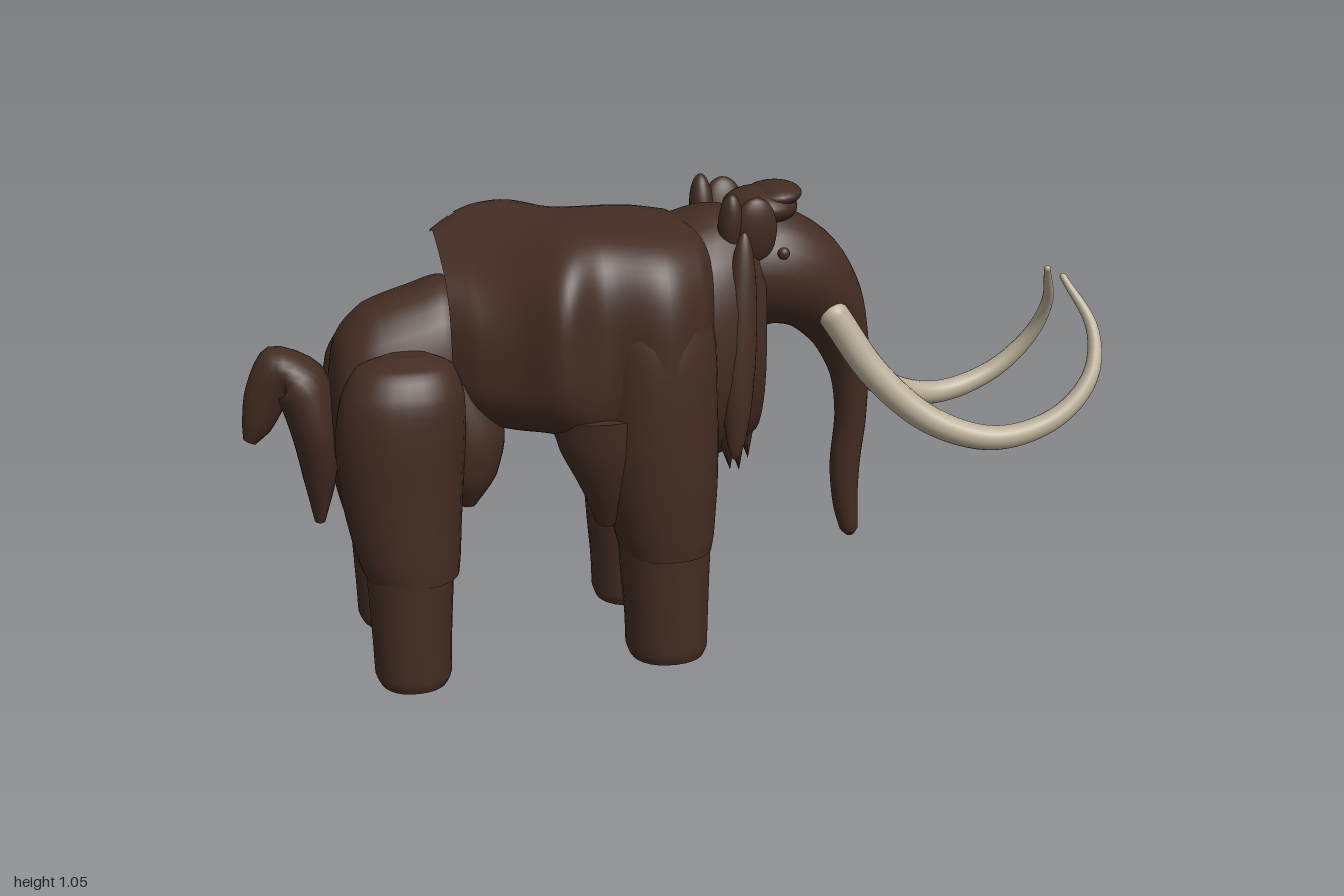
import * as THREE from 'three';

const fur = new THREE.MeshStandardMaterial({ color: 0x432c22, side: THREE.DoubleSide });
fur.name = 'brown fur';
const ivory = new THREE.MeshStandardMaterial({ color: 0xb8ad96 });
ivory.name = 'ivory';

// Smooth skin over oval sections. Row: centre x, y, z, then half axis (ux, uy) and half width along z.
function loft(rows, { n = 28, steps = 4, caps = true, skip = null, lift = null } = {}) {
  const c = new THREE.CatmullRomCurve3(rows.map(r => new THREE.Vector3(r[0], r[1], r[2])));
  const s = new THREE.CatmullRomCurve3(rows.map(r => new THREE.Vector3(r[3], r[4], r[5])));
  const power = rows.power || 1;
  const m = (rows.length - 1) * steps;
  const pos = [], idx = [];
  const bend = v => Math.sign(v) * Math.abs(v) ** power;
  for (let i = 0; i <= m; i++) {
    const a = c.getPoint(i / m), b = s.getPoint(i / m);
    for (let j = 0; j < n; j++) {
      const t = j / n * Math.PI * 2, cu = bend(Math.cos(t)), sv = bend(Math.sin(t));
      const x = a.x + b.x * cu, y = a.y + b.y * cu, z = a.z + b.z * sv;
      pos.push(x, lift ? y + lift(x, y, z) : y, z);
    }
  }
  for (let i = 0; i < m; i++) for (let j = 0; j < n; j++) {
    const a = i * n + j, b = i * n + (j + 1) % n;
    if (skip && skip(pos[a * 3], pos[a * 3 + 1], pos[a * 3 + 2])) continue;
    idx.push(a, b, a + n, b, b + n, a + n);
  }
  if (caps) for (const i of [0, m]) {
    const p = c.getPoint(i / m), base = pos.length / 3;
    for (let j = 0; j < n; j++) pos.push(...pos.slice((i * n + j) * 3, (i * n + j) * 3 + 3));
    pos.push(p.x, p.y, p.z);
    for (let j = 0; j < n; j++) {
      const a = base + j, b = base + (j + 1) % n;
      if (i) idx.push(a, b, base + n); else idx.push(b, a, base + n);
    }
  }
  const g = new THREE.BufferGeometry();
  g.setAttribute('position', new THREE.Float32BufferAttribute(pos, 3));
  g.setIndex(idx);
  g.computeVertexNormals();
  return g;
}

// Rows along x from [x, top, bottom, half width]
function alongX(list, power) {
  const rows = list.map(([x, t, b, w]) => [x, (t + b) / 2, 0, 0, (t - b) / 2, w]);
  rows.power = power;
  return rows;
}
// Rows rising along y from [y, xMin, xMax, zMin, zMax]
function alongY(list, side = 1, power = 1) {
  const rows = list.map(([y, a, b, c, d]) => [(a + b) / 2, y, side * (c + d) / 2, (a - b) / 2, 0, (d - c) / 2]);
  rows.power = power;
  return rows;
}
// Rows following a path in the xy plane from [x, y, half thickness, half width]
function alongPath(list) {
  return list.map(([x, y, r, w], i) => {
    const p = list[Math.max(0, i - 1)], q = list[Math.min(list.length - 1, i + 1)];
    const l = Math.hypot(q[0] - p[0], q[1] - p[1]);
    return [x, y, 0, -r * (q[1] - p[1]) / l, r * (q[0] - p[0]) / l, w];
  });
}

export function createModel() {
  const model = new THREE.Group();
  const add = (name, geo, mat = fur) => {
    const mesh = new THREE.Mesh(geo, mat);
    mesh.name = name;
    model.add(mesh);
    return mesh;
  };
  const blob = (name, p, s, rot = [0, 0, 0]) => {
    const mesh = add(name, new THREE.SphereGeometry(1, 24, 16));
    mesh.position.set(...p);
    mesh.scale.set(...s);
    mesh.rotation.set(...rot);
  };
  const tuft = (name, p, r, h, tilt = 0) => {
    const mesh = add(name, new THREE.ConeGeometry(r, h, 8));
    mesh.position.set(...p);
    mesh.rotation.z = Math.PI + tilt;
  };

  // Shaggy coat: hollow behind, one flank cut away on a slant, its rear rim rising to that flank
  add('coat', loft(alongX([
    [-0.55, 0.94, 0.60, 0.16], [-0.50, 0.955, 0.57, 0.205], [-0.42, 0.98, 0.55, 0.25],
    [-0.33, 1.0, 0.54, 0.31], [-0.23, 1.005, 0.48, 0.27], [-0.10, 1.00, 0.42, 0.31],
    [-0.01, 0.99, 0.42, 0.27], [0.05, 0.95, 0.48, 0.16]], 0.6), {
    n: 64, steps: 8, caps: false,
    lift: (x, y, z) => -0.4 * z * THREE.MathUtils.smoothstep(-x, 0.25, 0.5) * THREE.MathUtils.smoothstep(y, 0.6, 0.85),
    skip: (x, y, z) => x < -0.25 && z < -0.14 && y < 0.65 + (-0.25 - x) * 1.4
  }));

  // Neck and ruff
  add('neck', loft(alongX([
    [-0.05, 0.98, 0.40, 0.24], [0.05, 1.01, 0.42, 0.215], [0.11, 1.01, 0.44, 0.195],
    [0.165, 0.98, 0.47, 0.15]], 0.85)));

  // Rump
  add('rump', loft(alongX([
    [-0.81, 0.62, 0.50, 0.05], [-0.785, 0.76, 0.44, 0.12], [-0.72, 0.83, 0.42, 0.155],
    [-0.62, 0.865, 0.42, 0.16], [-0.54, 0.885, 0.43, 0.15], [-0.48, 0.80, 0.46, 0.12]], 0.9)));

  // Head flowing into the trunk
  add('headAndTrunk', loft(alongPath([
    [0.08, 0.86, 0.12, 0.13], [0.20, 0.865, 0.14, 0.14], [0.28, 0.835, 0.125, 0.13],
    [0.345, 0.775, 0.097, 0.105], [0.392, 0.69, 0.068, 0.07], [0.418, 0.59, 0.045, 0.05],
    [0.424, 0.48, 0.037, 0.043], [0.413, 0.36, 0.036, 0.037], [0.417, 0.26, 0.03, 0.031],
    [0.428, 0.195, 0.022, 0.025], [0.431, 0.178, 0.010, 0.012]])));

  // Topknot
  blob('topknot', [0.19, 1.005, 0], [0.085, 0.045, 0.10]);
  blob('topknotTip', [0.22, 1.03, 0], [0.065, 0.028, 0.088], [0, 0, 0.12]);

  // Tail, arched up and over
  add('tail', loft(alongPath([
    [-0.84, 0.335, 0.012, 0.02], [-0.835, 0.44, 0.037, 0.06], [-0.84, 0.56, 0.055, 0.09],
    [-0.87, 0.665, 0.062, 0.085], [-0.91, 0.69, 0.06, 0.06], [-0.94, 0.64, 0.048, 0.045],
    [-0.966, 0.57, 0.033, 0.03], [-0.983, 0.535, 0.015, 0.015]])));
  blob('tailRoot', [-0.81, 0.55, 0], [0.04, 0.09, 0.06]);

  // Hair hanging behind one elbow
  add('elbowHair', loft(alongY([
    [0.335, -0.24, -0.20, 0.15, 0.21], [0.42, -0.275, -0.15, 0.13, 0.25],
    [0.52, -0.325, -0.12, 0.12, 0.28], [0.60, -0.35, -0.12, 0.12, 0.29]])));

  for (const side of [1, -1]) {
    // Front legs
    add('frontFoot', loft(alongY([
      [0.008, -0.165, 0.005, 0.09, 0.27], [0.03, -0.173, 0.013, 0.082, 0.278],
      [0.10, -0.175, 0.015, 0.08, 0.28], [0.20, -0.183, 0.018, 0.078, 0.282],
      [0.30, -0.19, 0.022, 0.075, 0.285]], side, 0.9)));
    add('frontLeg', loft(alongY([
      [0.265, -0.185, 0.022, 0.065, 0.29], [0.30, -0.195, 0.028, 0.06, 0.295],
      [0.42, -0.22, 0.035, 0.06, 0.305], [0.56, -0.235, 0.035, 0.06, 0.31],
      [0.74, -0.235, 0.03, 0.06, 0.308], [0.86, -0.22, 0.01, 0.06, 0.275],
      [0.93, -0.18, -0.03, 0.06, 0.19]], side, 0.9)));

    // Hind legs
    add('hindFoot', loft(alongY([
      [0.008, -0.74, -0.59, 0.09, 0.27], [0.03, -0.75, -0.58, 0.082, 0.278],
      [0.10, -0.752, -0.578, 0.08, 0.28], [0.20, -0.756, -0.572, 0.078, 0.282],
      [0.30, -0.76, -0.565, 0.075, 0.285]], side, 0.9)));
    add('thigh', loft(alongY([
      [0.26, -0.76, -0.555, 0.065, 0.285], [0.30, -0.775, -0.55, 0.055, 0.288],
      [0.42, -0.80, -0.54, 0.03, 0.29], [0.56, -0.81, -0.53, 0.04, 0.295],
      [0.67, -0.795, -0.53, 0.07, 0.29], [0.73, -0.76, -0.55, 0.09, 0.26],
      [0.755, -0.70, -0.60, 0.14, 0.20]], side, 0.92)));
    add('flankHair', loft(alongY([
      [0.39, -0.54, -0.505, 0.11, 0.15], [0.46, -0.58, -0.455, 0.06, 0.19],
      [0.56, -0.60, -0.435, 0.04, 0.20], [0.68, -0.62, -0.47, 0.04, 0.18]], side)));

    // Ears, cheek locks and eyes
    blob('ear', [0.14, 0.97, side * 0.124], [0.052, 0.08, 0.027], [side * 0.15, 0, 0]);
    blob('earTip', [0.085, 0.985, side * 0.12], [0.028, 0.075, 0.03], [side * 0.15, 0, 0]);
    blob('neckLock', [0.092, 0.72, side * 0.178], [0.038, 0.26, 0.032], [side * -0.06, 0, -0.05]);
    blob('eye', [0.205, 0.92, side * 0.138], [0.014, 0.014, 0.012]);

    // Ruff tufts
    for (let i = 0; i < 3; i++)
      tuft('ruffTuft', [0.075 + i * 0.032, 0.50 - (i % 2) * 0.015, side * (0.14 - i * 0.035)], 0.045, 0.16, 0.1);

    // Tusks: tapered tubes sweeping out, up and in
    const path = new THREE.CatmullRomCurve3([
      [0.345, 0.755, 0.09], [0.44, 0.615, 0.122], [0.57, 0.503, 0.162], [0.72, 0.46, 0.193],
      [0.87, 0.502, 0.198], [0.96, 0.59, 0.176], [0.983, 0.69, 0.125], [0.94, 0.80, 0.043]
    ].map(p => new THREE.Vector3(p[0], p[1], p[2] * side)));
    const seg = 48, n = 16;
    const tusk = new THREE.TubeGeometry(path, seg, 1, n);
    const p = tusk.attributes.position, v = new THREE.Vector3();
    for (let i = 0; i <= seg; i++) {
      const c = path.getPointAt(i / seg), r = 0.008 + 0.028 * (1 - (i / seg) ** 1.9);
      for (let j = 0; j <= n; j++) {
        const k = i * (n + 1) + j;
        v.fromBufferAttribute(p, k).sub(c).multiplyScalar(r).add(c);
        p.setXYZ(k, v.x, v.y, v.z);
      }
    }
    add('tusk', tusk, ivory);
    for (const [name, t, r] of [['tuskTip', 1, 0.0082], ['tuskRoot', 0, 0.036]])
      add(name, new THREE.SphereGeometry(r, 16, 12), ivory).position.copy(path.getPoint(t));
  }
  return model;
}
